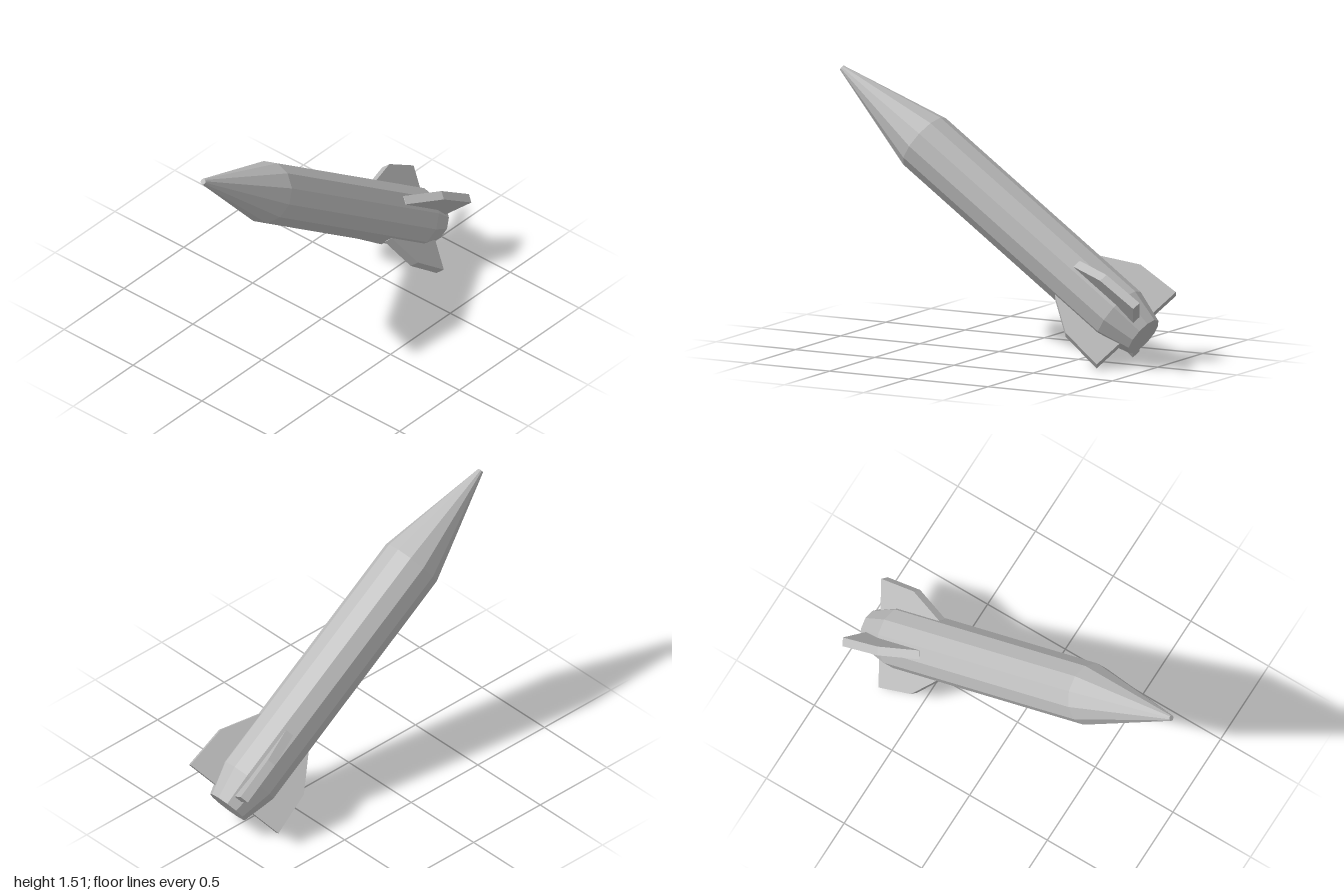
import * as THREE from 'three';

export function createModel() {
  const grey = new THREE.MeshStandardMaterial({ color: 0xbbbbbb, flatShading: true });
  grey.name = 'hull grey';

  const model = new THREE.Group();
  model.name = 'rocket';

  // Built upright along y with the tail at 0, then tilted as a whole
  const rocket = new THREE.Group();
  rocket.name = 'tiltedRocket';
  rocket.position.set(0, 0.165, -0.91);
  rocket.rotation.x = THREE.MathUtils.degToRad(55);
  model.add(rocket);

  // Twelve-sided hull sections: name, lower radius, upper radius, start, end
  const RADIUS = 0.173, TAIL = 0.12, TIP = 0.016;
  const sections = [
    ['tailCone', TAIL, RADIUS, 0, 0.185],
    ['body', RADIUS, RADIUS, 0.185, 1.684],
    ['noseCone', RADIUS, TIP, 1.684, 2.32],
  ];
  for (const [name, r0, r1, s0, s1] of sections) {
    const geometry = new THREE.CylinderGeometry(r1, r0, s1 - s0, 12, 1, true);
    geometry.translate(0, (s0 + s1) / 2, 0);
    const mesh = new THREE.Mesh(geometry, grey);
    mesh.name = name;
    rocket.add(mesh);
  }

  // Flat end caps
  const addCap = (name, radius, height, turn) => {
    const cap = new THREE.Mesh(new THREE.CircleGeometry(radius, 12), grey);
    cap.name = name;
    cap.position.y = height;
    cap.rotation.x = turn;
    rocket.add(cap);
  };
  addCap('tailCap', TAIL, 0, Math.PI / 2);
  addCap('noseTip', TIP, 2.32, -Math.PI / 2);

  // Four swept fins, rooted inside the hull
  const outline = [[0.08, 0.055], [0.309, 0.055], [0.292, 0.31], [0.169, 0.515], [0.08, 0.515]];
  const thickness = 0.05;
  const finGeometry = new THREE.ExtrudeGeometry(
    new THREE.Shape(outline.map(([r, s]) => new THREE.Vector2(r, s))),
    { depth: thickness, bevelEnabled: false }
  );
  finGeometry.translate(0, 0, -thickness / 2);
  for (let i = 0; i < 4; i++) {
    const fin = new THREE.Mesh(finGeometry, grey);
    fin.name = `fin${i + 1}`;
    fin.rotation.y = Math.PI / 4 + (i * Math.PI) / 2;
    rocket.add(fin);
  }

  return model;
}
